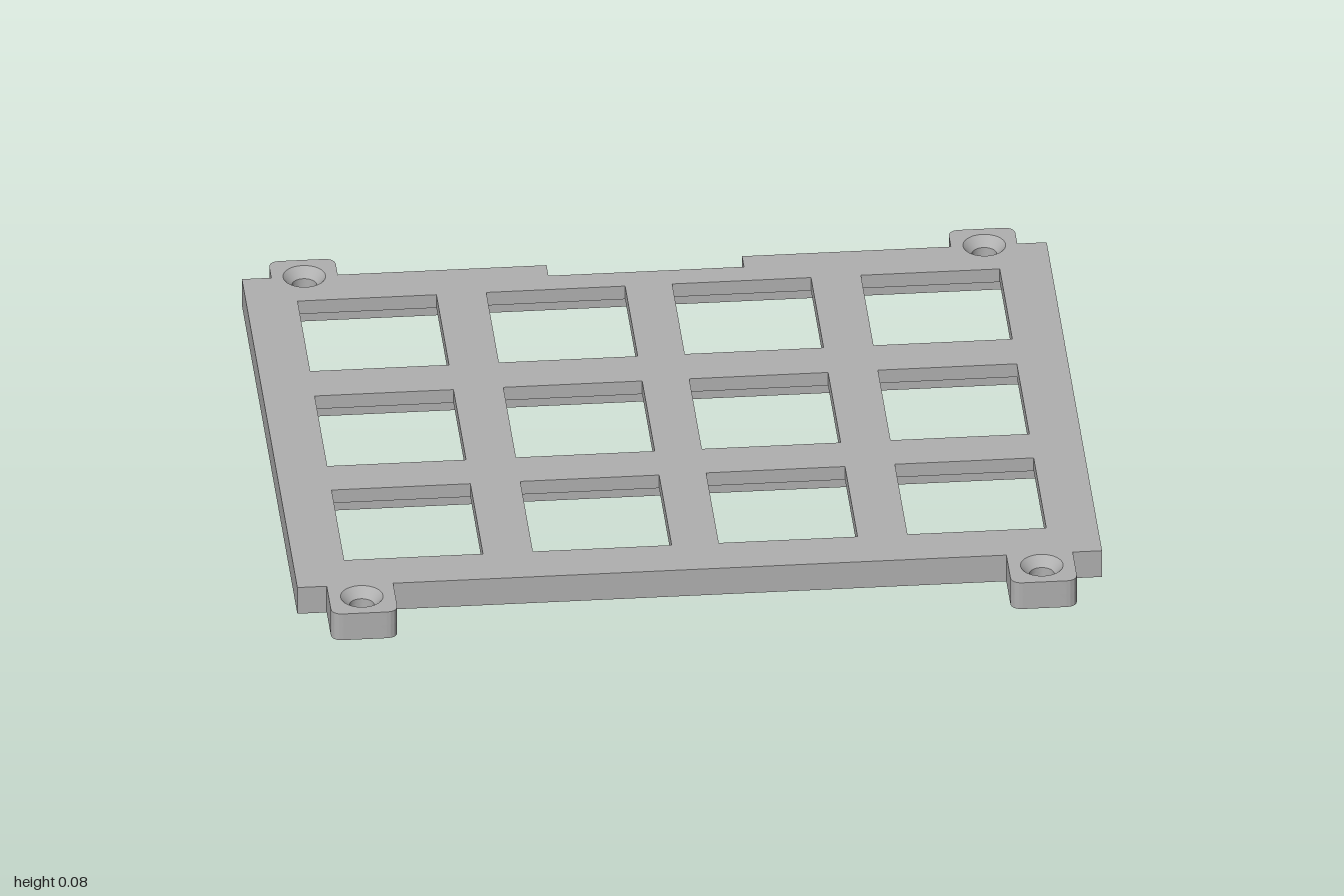
import * as THREE from 'three';
import { toCreasedNormals } from 'three/addons/utils/BufferGeometryUtils.js';

const HEIGHT = 0.075, MID = 0.0375;
const COLUMNS = [-0.7, -0.231, 0.231, 0.7];
const ROWS = [-0.498, -0.031, 0.432];
const SCREWS = [[-0.845, -0.79], [0.845, -0.79], [-0.845, 0.785], [0.845, 0.785]];
const BORE = 0.031, SINK = 0.053;

// Plate outline in x and z, with rounded screw tabs and a shallow back notch
function outline() {
  const s = new THREE.Shape();
  const r = 0.03, inner = 0.762, outer = 0.927;
  // One tab, from x = a to x = b, reaching from z0 out to z1
  const tab = (a, b, z0, z1) => {
    const dx = Math.sign(b - a) * r, dz = Math.sign(z1 - z0) * r;
    s.lineTo(a, z0);
    s.lineTo(a, z1 - dz);
    s.quadraticCurveTo(a, z1, a + dx, z1);
    s.lineTo(b - dx, z1);
    s.quadraticCurveTo(b, z1, b, z1 - dz);
    s.lineTo(b, z0);
  };
  s.moveTo(-1, -0.79);
  tab(-outer, -inner, -0.79, -0.87);
  s.lineTo(-0.243, -0.79);
  s.lineTo(-0.243, -0.738);
  s.lineTo(0.243, -0.738);
  s.lineTo(0.243, -0.79);
  tab(inner, outer, -0.79, -0.87);
  s.lineTo(1, -0.79);
  s.lineTo(1, 0.728);
  tab(outer, inner, 0.728, 0.867);
  tab(-inner, -outer, 0.728, 0.867);
  s.lineTo(-1, 0.728);
  s.closePath();
  return s;
}

// One layer of the plate with square openings and round screw holes
function layer(bottom, top, opening, radius) {
  const s = outline();
  const h = opening / 2;
  for (const x of COLUMNS) for (const z of ROWS) {
    s.holes.push(new THREE.Path([[-h, -h], [-h, h], [h, h], [h, -h]]
      .map(([a, b]) => new THREE.Vector2(x + a, z + b))));
  }
  for (const [x, z] of SCREWS) {
    s.holes.push(new THREE.Path().absarc(x, z, radius, 0, Math.PI * 2, true));
  }
  const g = new THREE.ExtrudeGeometry(s, { depth: top - bottom, bevelEnabled: false, curveSegments: 16 });
  g.rotateX(Math.PI / 2).translate(0, top, 0);
  return toCreasedNormals(g, 0.6);
}

export function createModel() {
  const group = new THREE.Group();
  const grey = new THREE.MeshStandardMaterial({ color: 0xb0b0b0, side: THREE.DoubleSide });
  grey.name = 'grey plastic';
  const add = (name, geometry, x = 0, z = 0) => {
    const mesh = new THREE.Mesh(geometry, grey);
    mesh.name = name;
    mesh.position.set(x, 0, z);
    group.add(mesh);
  };

  // Upper plate, and the lower grid whose wider openings leave a ledge
  add('upperPlate', layer(MID, HEIGHT, 0.345, SINK));
  add('lowerGrid', layer(0, MID, 0.4, BORE));

  // Countersunk screw holes: a cone above a straight bore
  const wall = (r1, y1, r0, y0) => new THREE.LatheGeometry(
    [new THREE.Vector2(r1, y1), new THREE.Vector2(r0, y0)], 32);
  const cone = wall(SINK, HEIGHT, BORE, 0.05);
  const bore = wall(BORE, 0.05, BORE, MID);
  for (const [x, z] of SCREWS) {
    add('countersink', cone, x, z);
    add('screwBore', bore, x, z);
  }
  return group;
}
